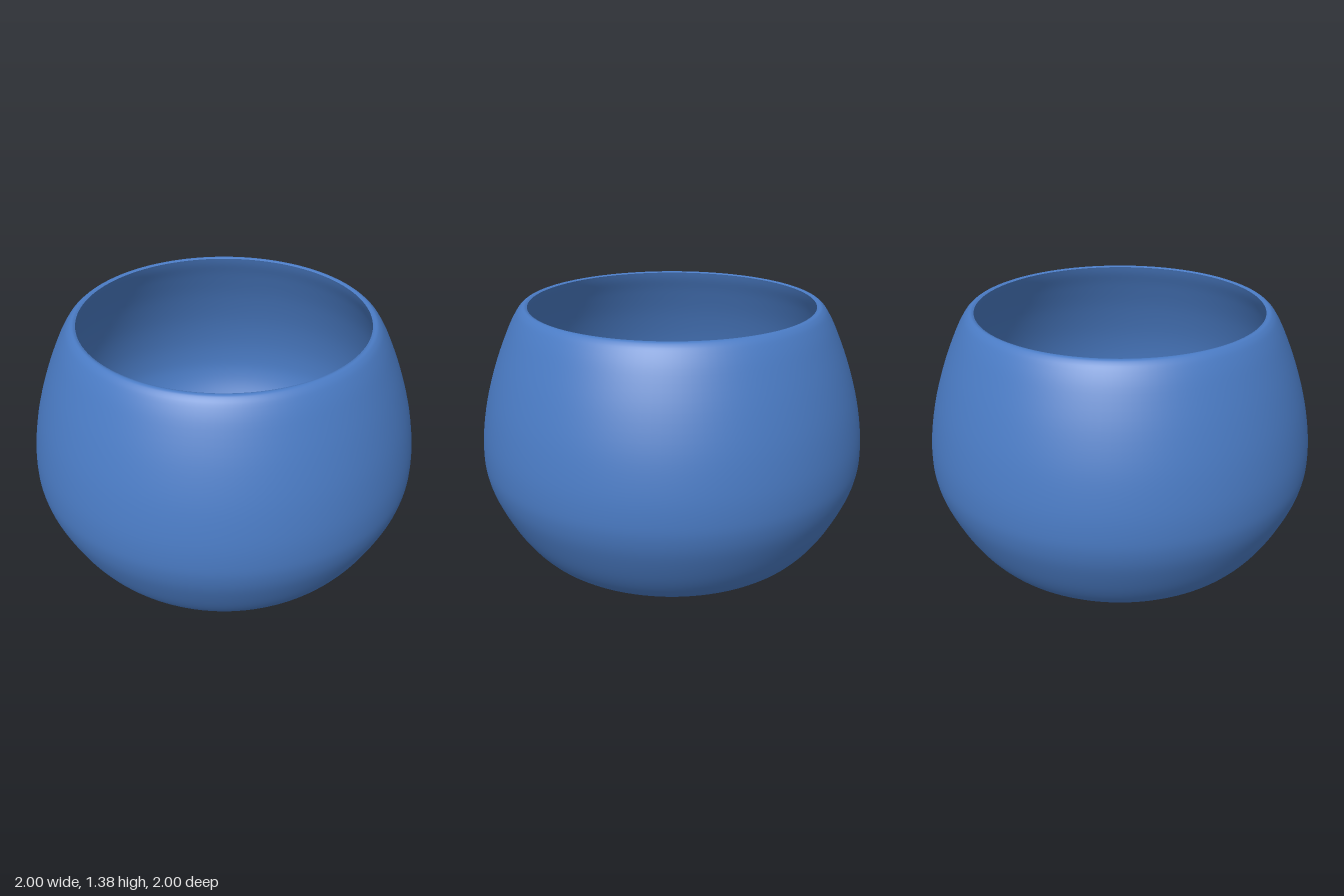
import * as THREE from 'three';

// Smooth surface of revolution through a few [radius, height] points
function turned(name, points, material) {
  const curve = new THREE.SplineCurve(points.map(([r, y]) => new THREE.Vector2(r, y)));
  const profile = curve.getPoints(72);
  profile.forEach((p) => { p.x = Math.max(p.x, 0); p.y = Math.max(p.y, 0); });
  const mesh = new THREE.Mesh(new THREE.LatheGeometry(profile, 128), material);
  mesh.name = name;
  return mesh;
}

export function createModel() {
  const group = new THREE.Group();
  group.name = 'roundBowl';
  const blue = new THREE.MeshStandardMaterial({ color: 0x4a7bc4 });
  blue.name = 'blue glaze';

  // Outside, from the centre of the base up and over the rounded rim
  group.add(turned('outerBody', [
    [0, 0], [0.2, 0], [0.42, 0.002], [0.6, 0.023], [0.72, 0.07], [0.8, 0.138],
    [0.88, 0.25], [0.955, 0.4], [0.99, 0.51], [1, 0.61], [0.992, 0.74], [0.96, 0.91],
    [0.905, 1.09], [0.84, 1.25], [0.795, 1.335], [0.768, 1.367], [0.75, 1.375], [0.735, 1.37],
  ], blue));

  // Inside, from the lip down to the centre of the floor
  group.add(turned('innerBowl', [
    [0.735, 1.37], [0.752, 1.325], [0.795, 1.235], [0.86, 1.08], [0.918, 0.9],
    [0.95, 0.74], [0.958, 0.61], [0.947, 0.51], [0.91, 0.4], [0.835, 0.26],
    [0.74, 0.16], [0.6, 0.095], [0.42, 0.06], [0.2, 0.044], [0, 0.04],
  ], blue));

  return group;
}
